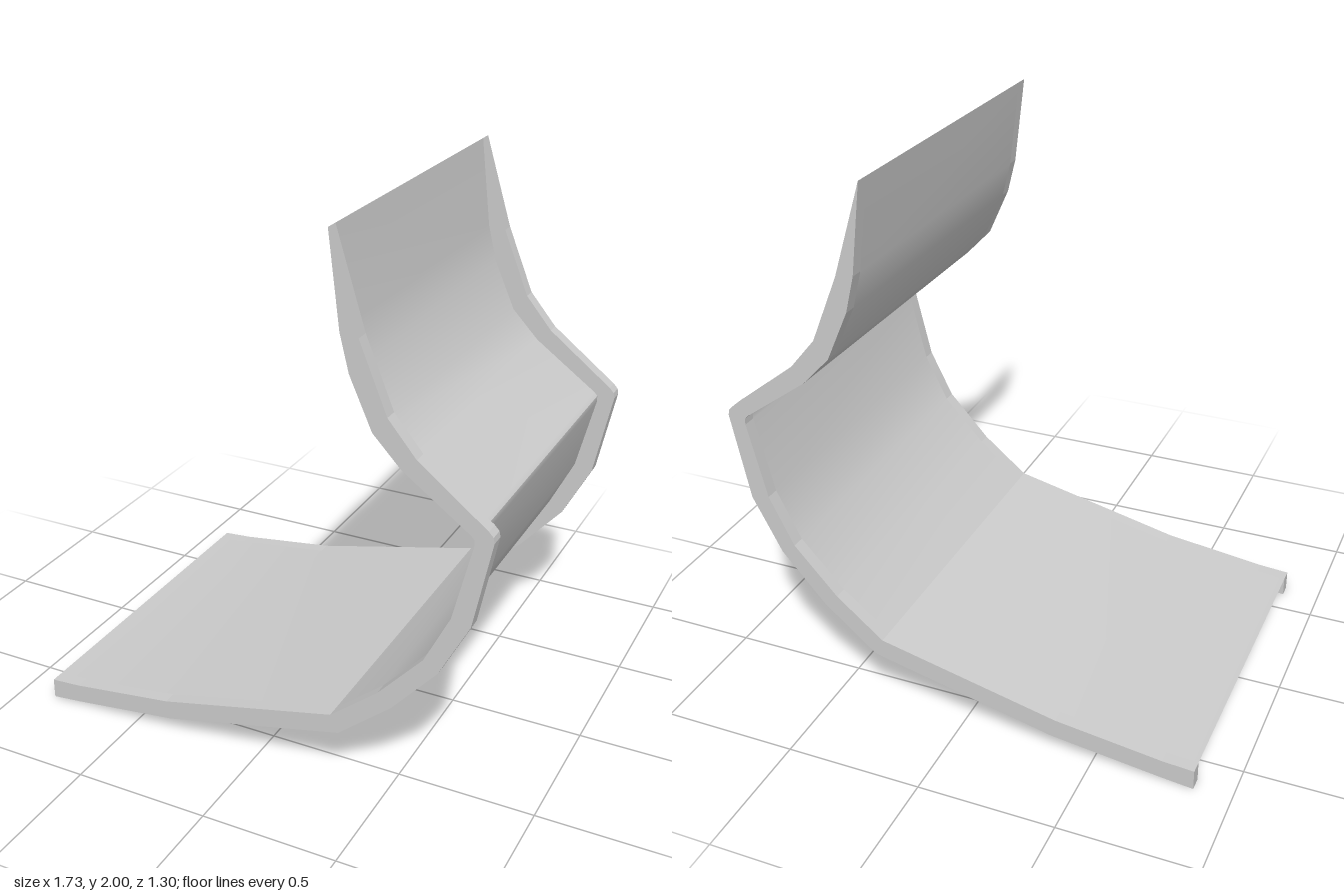
import * as THREE from 'three';

const HALF_DEPTH = 0.65, RAIL = 0.05;

// Inner (concave) edge of the side profile, from the top tip down to the seat end, in three runs
const upper = [[0.3, 2], [0.338, 1.68], [0.37, 1.55], [0.45, 1.37], [0.55, 1.265], [0.785, 1.095]];
const lower = [[0.797, 1.06], [0.73, 0.785], [0.64, 0.605], [0.48, 0.43], [0.305, 0.287]];
const seat = [[0.305, 0.287], [-0.36, 0.135], [-0.75, 0.085], [-0.865, 0.077]];
// Outer edge, from the seat end back up to the tip
const outer = [
  [-0.865, 0.002], [-0.75, 0.014], [-0.345, 0.065], [0.335, 0.222], [0.53, 0.385], [0.692, 0.568],
  [0.798, 0.77], [0.862, 1.085], [0.858, 1.105], [0.842, 1.122], [0.6, 1.31], [0.5, 1.43], [0.402, 1.67],
];

// Thin sheet swept across the depth between the rails, smooth along its run
function sheet(points, half) {
  const pos = [], index = [];
  points.forEach(([x, y], i) => {
    pos.push(x, y, -half, x, y, half);
    if (i) {
      const a = 2 * i - 2;
      index.push(a, a + 1, a + 2, a + 1, a + 3, a + 2);
    }
  });
  const g = new THREE.BufferGeometry();
  g.setAttribute('position', new THREE.Float32BufferAttribute(pos, 3));
  g.setIndex(index);
  g.computeVertexNormals();
  return g;
}

export function createModel() {
  const group = new THREE.Group();
  const solid = new THREE.MeshStandardMaterial({ color: 0xcccccc });
  const thin = new THREE.MeshStandardMaterial({ color: 0xcccccc, side: THREE.DoubleSide });

  // Side rails, one at each end of the depth
  const outline = [...upper, [0.797, 1.082], ...lower, ...seat.slice(1), ...outer];
  const shape = new THREE.Shape(outline.map(([x, y]) => new THREE.Vector2(x, y)));
  const railGeometry = new THREE.ExtrudeGeometry(shape, { depth: RAIL, bevelEnabled: false });
  for (const [name, z] of [['frontRail', HALF_DEPTH - RAIL], ['backRail', -HALF_DEPTH]]) {
    const rail = new THREE.Mesh(railGeometry, solid);
    rail.name = name;
    rail.position.z = z;
    group.add(rail);
  }

  // Panels flush with the inner edge of the rails
  const corner = [0.797, 1.082];
  const panels = { upperPanel: [...upper, corner], lowerPanel: [corner, ...lower], seatPanel: seat };
  for (const [name, points] of Object.entries(panels)) {
    const panel = new THREE.Mesh(sheet(points, HALF_DEPTH - RAIL), thin);
    panel.name = name;
    group.add(panel);
  }
  return group;
}
